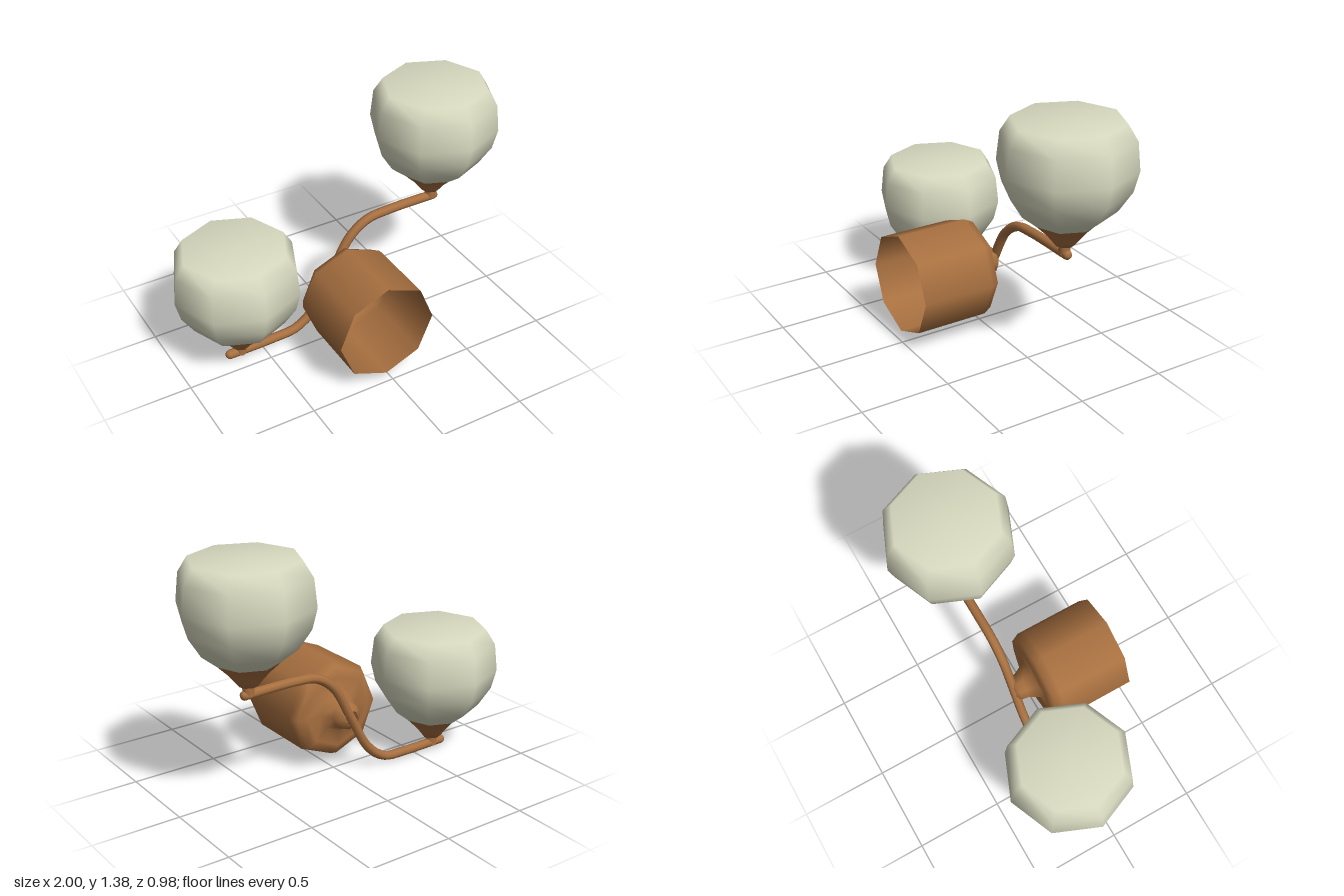
import * as THREE from 'three';

const SIDES = 8;

function mesh(name, geometry, material, parent) {
  const m = new THREE.Mesh(geometry, material);
  m.name = name;
  parent.add(m);
  return m;
}

// Eight-sided turned part from [radius, height] pairs
function turned(profile) {
  return new THREE.LatheGeometry(profile.map(([r, y]) => new THREE.Vector2(r, y)), SIDES);
}

export function createModel() {
  const copper = new THREE.MeshStandardMaterial({ color: 0xa87040, side: THREE.DoubleSide });
  copper.name = 'copper';
  const glass = new THREE.MeshStandardMaterial({ color: 0xd8dac0, side: THREE.DoubleSide });
  glass.name = 'creamGlass';

  const model = new THREE.Group();
  model.name = 'twinWallLamp';

  // Open wall canister with a tapered neck at the back, turned about z
  const canister = mesh('wallCanister', turned([
    [0.045, -0.125], [0.075, -0.105], [0.082, -0.065], [0.118, 0],
    [0.21, 0], [0.265, 0.02], [0.29, 0.07], [0.29, 0.487],
  ]), copper, model);
  canister.rotation.x = Math.PI / 2;
  canister.position.set(-0.035, 0.343, 0);

  // S-shaped arm, swept along bends, with rounded ends
  const path = [
    [-0.705, 0.03], [-0.42, 0.03], [-0.28, 0.042], [-0.16, 0.13], [-0.035, 0.345],
    [0.085, 0.555], [0.2, 0.638], [0.34, 0.655], [0.655, 0.655],
  ].map(([x, y]) => new THREE.Vector3(x, y, -0.12 - x * 0.012));
  const arm = new THREE.CatmullRomCurve3(path, false, 'centripetal');
  mesh('arm', new THREE.TubeGeometry(arm, 40, 0.027, SIDES), copper, model);
  for (const end of [path[0], path[path.length - 1]]) {
    mesh('armEnd', new THREE.SphereGeometry(0.027, SIDES, 6), copper, model).position.copy(end);
  }

  // Two lamp heads: stem, flared cup and closed glass shade
  for (const [name, x, y, z] of [['leftLamp', 0.632, 0.655, -0.127], ['rightLamp', -0.636, 0.022, -0.111]]) {
    const lamp = new THREE.Group();
    lamp.name = name;
    lamp.position.set(x, y, z);
    model.add(lamp);
    mesh('stem', new THREE.CylinderGeometry(0.032, 0.032, 0.07, SIDES), copper, lamp).position.y = 0.03;
    mesh('cup', turned([[0, 0.053], [0.053, 0.053], [0.082, 0.09], [0.115, 0.13], [0.176, 0.19]]), copper, lamp);
    mesh('shade', turned([
      [0.176, 0.19], [0.267, 0.265], [0.337, 0.375], [0.365, 0.49],
      [0.348, 0.645], [0.295, 0.73], [0, 0.73],
    ]), glass, lamp);
  }
  return model;
}
